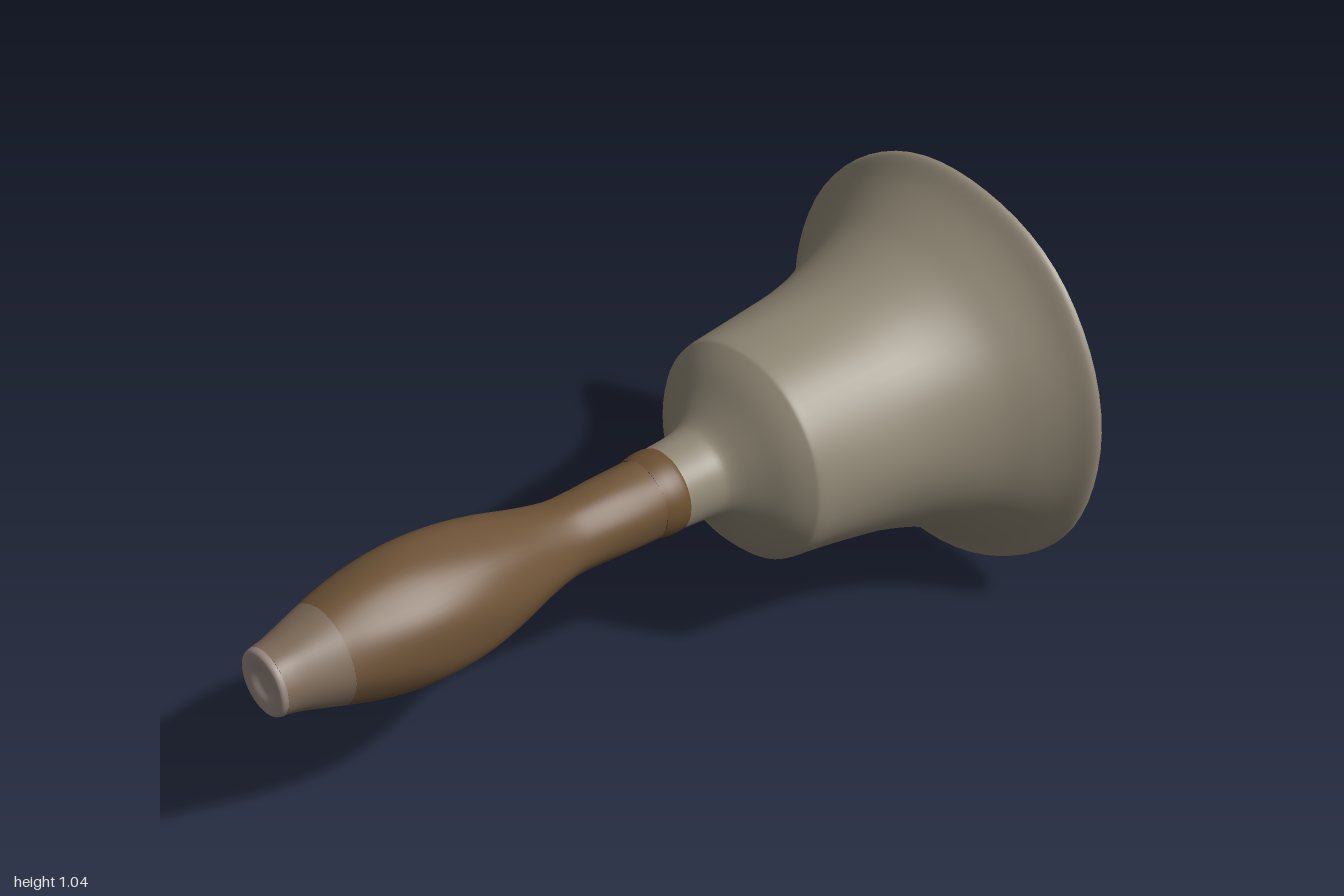
import * as THREE from 'three';

const AXIS_Y = 0.52;

// Turned part along z: points are [radius, z] running from back to front.
function turned(name, color, points, { smooth = true, ripple = 0, wobble = 0 } = {}) {
  let profile = points.map(([r, z]) => new THREE.Vector2(r, z));
  if (smooth) profile = new THREE.SplineCurve(profile).getPoints(points.length * 4);
  profile.forEach((p) => { p.x = Math.max(p.x, 0); });
  const geo = new THREE.LatheGeometry(profile, 64);
  geo.rotateX(Math.PI / 2);
  const pos = geo.attributes.position;
  for (let i = 0; i < pos.count; i++) {
    const x = pos.getX(i), y = pos.getY(i), z = pos.getZ(i);
    const a = Math.atan2(y, x);
    // gentle hand-worked unevenness
    const k = 1 + wobble * (Math.sin(5 * a + 9 * z) + 0.6 * Math.sin(8 * a - 13 * z));
    // the axis drifts slightly to one side towards the handle
    const drift = -0.015 * THREE.MathUtils.smoothstep(z, -0.97, -0.3);
    const dz = ripple * Math.sin(14 * x + 2 * y) * Math.sin(11 * y + 1) * (1 - Math.min(1, Math.hypot(x, y) / 0.52) ** 4);
    pos.setXYZ(i, x * k + drift, y * k, z + dz);
  }
  // average the normals but keep the lathe seam closed
  geo.computeVertexNormals();
  const n = geo.attributes.normal, row = profile.length;
  for (let j = 0; j < row; j++) {
    const b = 64 * row + j;
    const v = new THREE.Vector3().fromBufferAttribute(n, j)
      .add(new THREE.Vector3().fromBufferAttribute(n, b)).normalize();
    n.setXYZ(j, v.x, v.y, v.z);
    n.setXYZ(b, v.x, v.y, v.z);
  }
  const mesh = new THREE.Mesh(geo, new THREE.MeshStandardMaterial({ color }));
  mesh.name = name;
  mesh.position.y = AXIS_Y;
  return mesh;
}

export function createModel() {
  const bell = new THREE.Group();
  bell.name = 'handBell';

  // Closed mouth of the bell
  bell.add(turned('mouthCover', 0x868b91, [
    [0, -0.988], [0.1, -0.988], [0.2, -0.987], [0.3, -0.986], [0.4, -0.984], [0.49, -0.98], [0.519, -0.972],
  ], { ripple: 0.008 }));

  // Flared body, shoulder and neck
  bell.add(turned('bellBody', 0x8f8674, [
    [0.519, -0.972], [0.512, -0.955], [0.47, -0.92], [0.425, -0.87], [0.375, -0.8], [0.335, -0.71],
    [0.308, -0.61], [0.292, -0.5], [0.28, -0.4], [0.273, -0.345], [0.262, -0.325],
    [0.225, -0.29], [0.165, -0.25], [0.122, -0.215], [0.106, -0.18], [0.1, -0.1],
  ], { wobble: 0.004 }));

  // Collar where the handle meets the neck
  bell.add(turned('handleCollar', 0x6b4f30, [
    [0.098, -0.105], [0.102, -0.09], [0.101, -0.06], [0.095, -0.035],
  ]));

  // Turned wooden grip
  bell.add(turned('handleGrip', 0x6e5337, [
    [0.095, -0.035], [0.094, 0.05], [0.09, 0.15], [0.092, 0.21], [0.108, 0.29], [0.134, 0.39],
    [0.153, 0.49], [0.16, 0.59], [0.154, 0.68], [0.137, 0.77], [0.118, 0.84],
  ], { wobble: 0.01 }));

  // Paler worn tip, closed by a slightly dished end
  bell.add(turned('handleTip', 0x7d6a58, [
    [0.118, 0.84], [0.1, 0.9], [0.086, 0.95], [0.08, 0.985],
  ], { wobble: 0.008 }));
  bell.add(turned('handleEnd', 0x9a8a82, [
    [0.08, 0.985], [0.076, 0.996], [0.066, 1], [0.045, 0.997], [0.025, 0.988], [0, 0.986],
  ]));

  return bell;
}
